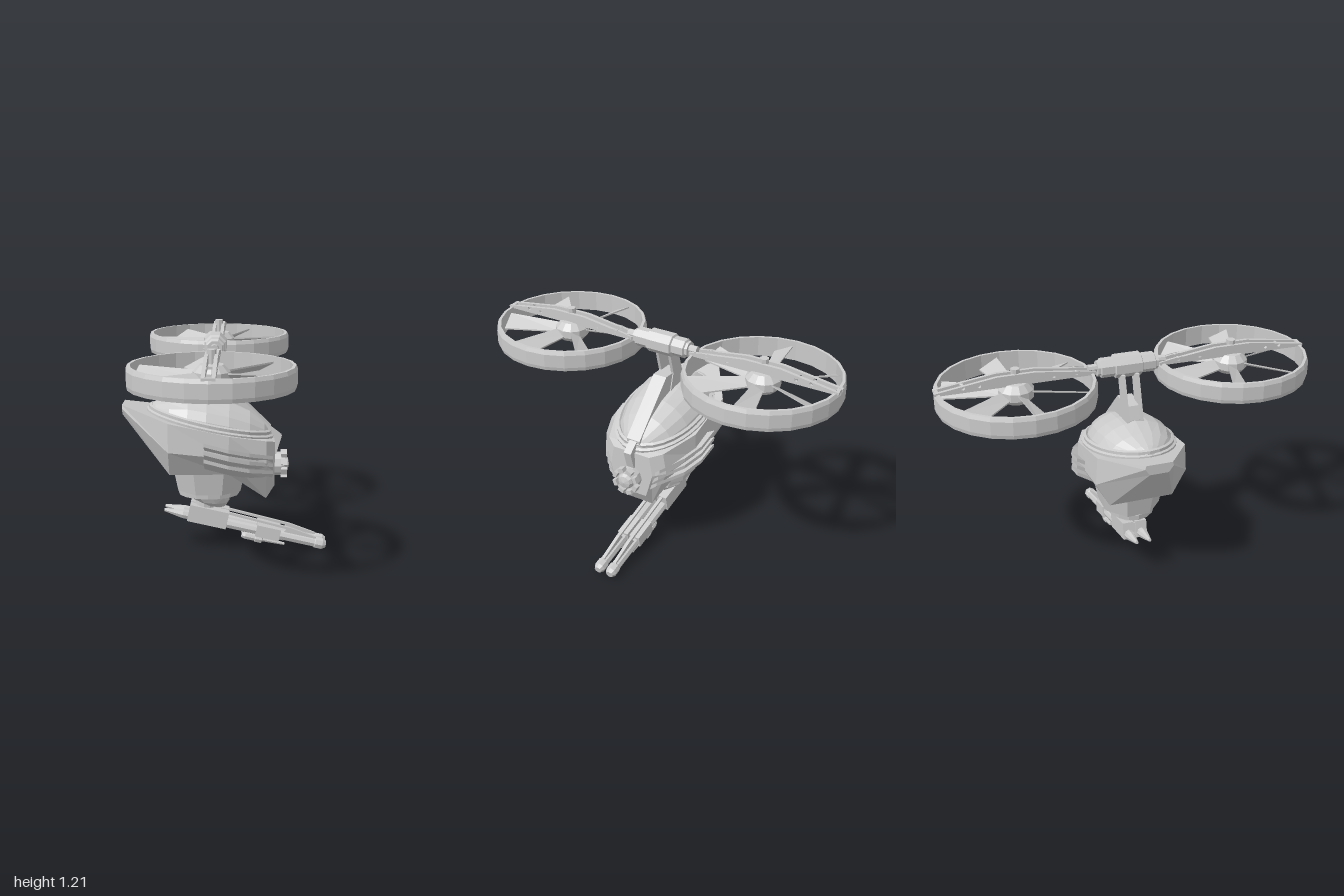
import * as THREE from 'three';

const mat = new THREE.MeshStandardMaterial({ color: 0xcccccc, flatShading: true, side: THREE.DoubleSide });

function add(parent, name, geo, x = 0, y = 0, z = 0) {
  const m = new THREE.Mesh(geo, mat);
  m.name = name;
  m.position.set(x, y, z);
  parent.add(m);
  return m;
}

// Skin through equal-length rings of [x, y, z], capped at both ends
function loft(rings) {
  const p = [], n = rings[0].length;
  const tri = (a, b, c) => p.push(...a, ...b, ...c);
  for (let i = 0; i < rings.length - 1; i++) {
    for (let j = 0; j < n; j++) {
      const k = (j + 1) % n, A = rings[i], B = rings[i + 1];
      tri(A[j], A[k], B[k]);
      tri(A[j], B[k], B[j]);
    }
  }
  const first = rings[0], last = rings[rings.length - 1];
  for (let j = 1; j < n - 1; j++) {
    tri(first[0], first[j + 1], first[j]);
    tri(last[0], last[j], last[j + 1]);
  }
  const g = new THREE.BufferGeometry();
  g.setAttribute('position', new THREE.Float32BufferAttribute(p, 3));
  g.computeVertexNormals();
  return g;
}

// Mirror a half section of [x, y, z] across z = 0 into a full ring
const mirrorRing = half => [...half, ...half.map(([x, y, z]) => [x, y, -z]).reverse()];

// Flat plate in the xy plane, from z0 to z1, with optional round holes
function plate(pts, z0, z1, holes = []) {
  const s = new THREE.Shape(pts.map(p => new THREE.Vector2(...p)));
  for (const [x, y, r] of holes) s.holes.push(new THREE.Path().absarc(x, y, r, 0, Math.PI * 2, true));
  return new THREE.ExtrudeGeometry(s, { depth: z1 - z0, bevelEnabled: false, curveSegments: 4 }).translate(0, 0, z0);
}

const lathe = (pts, seg) => new THREE.LatheGeometry(pts.map(p => new THREE.Vector2(...p)), seg);
const latheX = (pts, seg) => lathe(pts, seg).rotateZ(-Math.PI / 2); // profile [radius, x]

const deckY = x => 0.835 - 0.215 * (x + 0.56);

function buildHull(g) {
  // [x, topY, topZ, midY, midZ, bottomY, bottomZ]
  const stations = [
    [-0.56, 0.84, 0.07, 0.82, 0.075, 0.785, 0.05],
    [-0.3, 0.775, 0.24, 0.62, 0.25, 0.48, 0.175],
    [0.02, 0.71, 0.25, 0.59, 0.255, 0.485, 0.18],
    [0.22, 0.667, 0.17, 0.55, 0.19, 0.33, 0.1],
    [0.265, 0.65, 0.11, 0.54, 0.13, 0.4, 0.09],
  ];
  add(g, 'hull', loft(stations.map(([x, a, b, c, d, e, f]) => mirrorRing([[x, a, b], [x, c, d], [x, e, f]]))));

  // Canopy dome: [x, topY, halfWidth]
  const dome = [[-0.42, 0.825, 0.03], [-0.38, 0.852, 0.1], [-0.3, 0.878, 0.175], [-0.2, 0.9, 0.21], [-0.1, 0.89, 0.22],
    [0.02, 0.862, 0.205], [0.13, 0.81, 0.165], [0.21, 0.745, 0.1], [0.25, 0.69, 0.035]];
  add(g, 'canopy', loft(dome.map(([x, top, w]) => {
    const base = deckY(x) - 0.01, ring = [];
    for (let i = 0; i <= 10; i++) {
      const a = Math.PI * i / 10;
      ring.push([x, base + (top - base) * Math.sin(a), -w * Math.cos(a)]);
    }
    return ring;
  })));

  // Canopy rims
  for (const [grow, lift] of [[0, 0.025], [0.012, 0.002]]) {
    const pts = [];
    for (let i = 0; i < 24; i++) {
      const a = Math.PI * 2 * i / 24, x = -0.085 + (0.325 + grow) * Math.cos(a);
      pts.push(new THREE.Vector3(x, deckY(x) + lift, (0.218 + grow) * Math.sin(a)));
    }
    add(g, 'canopyRim', new THREE.TubeGeometry(new THREE.CatmullRomCurve3(pts, true), 32, 0.013, 5, true));
  }

  // Side gills
  for (const s of [1, -1]) {
    for (let i = 0; i < 3; i++) {
      const y = 0.685 - i * 0.043;
      const rings = [[-0.11, 0.295], [0.02, 0.29], [0.13, 0.25], [0.255, 0.17 - i * 0.01]].map(([x, z], k) => {
        const yy = y - 0.27 * (x + 0.11), inner = z - (k === 3 ? 0.06 : 0.085);
        return [[x, yy, s * z], [x, yy - 0.02, s * z], [x, yy - 0.075, s * inner], [x, yy - 0.05, s * inner]];
      });
      if (s < 0) rings.forEach(r => r.reverse());
      add(g, 'gill', loft(rings));
    }
  }

  // Nose plate and nose sensor
  add(g, 'nosePlate', plate([[0.23, 0.72], [0.305, 0.662], [0.275, 0.56], [0.25, 0.56]], -0.022, 0.022));
  add(g, 'noseSensor', latheX([[0, 0.24], [0.065, 0.24], [0.065, 0.305], [0.045, 0.305], [0.045, 0.325], [0.035, 0.34], [0, 0.348]], 10), 0, 0.5, 0);
  for (let i = 0; i < 8; i++) {
    const a = Math.PI * 2 * (i + 0.5) / 8;
    const t = add(g, 'sensorTooth', new THREE.BoxGeometry(0.034, 0.022, 0.034), 0.318, 0.5 + 0.066 * Math.cos(a), 0.066 * Math.sin(a));
    t.rotation.x = a;
  }
}

function buildMast(g) {
  for (const s of [1, -1]) {
    add(g, 'mastStrut', plate([[-0.21, 0.86], [-0.2, 0.9], [-0.125, 1.13], [-0.045, 1.13], [-0.09, 0.975], [-0.06, 0.86]],
      s * 0.038 - 0.008, s * 0.038 + 0.008));
  }
  add(g, 'mastFin', plate([[-0.19, 0.8], [-0.19, 0.9], [-0.165, 0.972], [-0.025, 0.975], [0.245, 0.715], [0.24, 0.66]], -0.04, 0.04));
  const pod = [[0, -0.165], [0.042, -0.165], [0.042, -0.15], [0.052, -0.145], [0.052, -0.075], [0.063, -0.07],
    [0.063, 0.07], [0.052, 0.075], [0.052, 0.145], [0.042, 0.15], [0.042, 0.165], [0, 0.165]];
  add(g, 'centralPod', lathe(pod, 8).rotateX(Math.PI / 2).rotateZ(Math.PI / 8), -0.055, 1.16, 0);
  add(g, 'podAxle', new THREE.CylinderGeometry(0.022, 0.022, 0.42, 8).rotateX(Math.PI / 2), -0.055, 1.165, 0);
}

function buildRotor(side, startAngle) {
  const r = new THREE.Group();
  r.name = side > 0 ? 'leftRotor' : 'rightRotor';
  r.position.set(-0.055, 0, side * 0.587);
  add(r, 'shroud', lathe([[0.392, 1.04], [0.408, 1.04], [0.413, 1.06], [0.413, 1.13], [0.405, 1.15], [0.39, 1.15], [0.392, 1.04]], 24));
  add(r, 'hub', lathe([[0, 1.05], [0.07, 1.05], [0.092, 1.075], [0.092, 1.115], [0.06, 1.15], [0, 1.155]], 12));
  add(r, 'hubBolt', new THREE.CylinderGeometry(0.024, 0.024, 0.09, 8), 0, 1.177, 0);
  // Pitched blades
  const section = (x, w, tilt) => {
    const c = Math.cos(tilt) * w, s = Math.sin(tilt) * w, t = 0.004;
    return [[x, s + t, c], [x, s - t, c], [x, -s - t, -c], [x, -s + t, -c]];
  };
  for (let i = 0; i < 6; i++) {
    const b = add(r, 'blade', loft([section(0.07, 0.03, 0.55), section(0.385, 0.056, 0.45)]), 0, 1.095, 0);
    b.rotation.y = -(startAngle + i * Math.PI / 3);
  }
  // Twin perforated boom rails across the shroud
  const outline = [[-0.413, 1.142], [0.413, 1.142], [0.413, 1.155], [0.1, 1.2], [-0.1, 1.2], [-0.413, 1.158]];
  const holes = [-0.31, -0.19, 0.19, 0.27].map(z => [z, 1.166, 0.01]);
  for (const x of [-0.024, 0.024]) {
    const rail = add(r, 'boomRail', plate(outline, -0.009, 0.009, holes).rotateY(-Math.PI / 2), x, 0, 0);
    rail.scale.z = side;
  }
  for (const z of [-0.4, -0.1, 0.1, 0.4]) add(r, 'railSpacer', new THREE.BoxGeometry(0.05, 0.012, 0.02), 0, 1.15, z);
  return r;
}

function buildTurret(g) {
  // Octagonal neck, collar and tilted turret
  const neck = [[0, 0.36], [0.185, 0.36], [0.215, 0.5], [0, 0.5]];
  add(g, 'neck', lathe(neck, 8).rotateY(Math.PI / 8).scale(1, 1, 0.9), -0.09, 0, 0);
  add(g, 'collar', lathe([[0, 0.33], [0.168, 0.33], [0.172, 0.362], [0, 0.362]], 16).scale(1, 1, 0.8), -0.095, 0, 0);
  const bowl = (y, x0, x1, w) => Array.from({ length: 10 }, (_, i) => {
    const a = Math.PI * 2 * i / 10;
    return [(x0 + x1) / 2 + (x1 - x0) / 2 * Math.cos(a), y - 0.012 * Math.cos(a), -w * Math.sin(a)];
  });
  add(g, 'turret', loft([bowl(0.27, -0.14, 0.0, 0.07), bowl(0.3, -0.19, 0.018, 0.115), bowl(0.335, -0.235, 0.02, 0.13)]));
  add(g, 'gunMount', new THREE.CylinderGeometry(0.05, 0.055, 0.09, 10), -0.12, 0.265, 0);

  // Twin guns, laid out along local x and tipped nose down
  const guns = new THREE.Group();
  guns.name = 'guns';
  guns.position.set(-0.22, 0.213, 0);
  guns.rotation.z = -0.217;
  g.add(guns);
  add(guns, 'gunBridge', new THREE.BoxGeometry(0.18, 0.05, 0.06), 0.11, 0.03, 0);
  for (const z of [-0.037, 0.037]) {
    add(guns, 'barrel', latheX([[0, -0.125], [0.009, -0.125], [0.027, -0.02], [0.027, 0.73], [0.032, 0.735], [0.032, 0.775], [0.02, 0.795], [0, 0.795]], 8), 0, 0, z);
    add(guns, 'receiver', new THREE.BoxGeometry(0.22, 0.095, 0.062), 0.12, 0.02, z);
    add(guns, 'sleeve', new THREE.BoxGeometry(0.135, 0.066, 0.062), 0.465, 0.002, z);
    add(guns, 'topRail', plate([[0.22, 0.066], [0.22, 0.054], [0.56, 0.042], [0.55, 0.02], [0.74, 0.02], [0.73, 0.033], [0.58, 0.054]], -0.009, 0.009), 0, 0, z);
    add(guns, 'underPod', latheX([[0, 0.325], [0.015, 0.325], [0.021, 0.345], [0.021, 0.4], [0.026, 0.405], [0.026, 0.44], [0.014, 0.445], [0.008, 0.57], [0, 0.57]], 8), 0, -0.047, z);
  }
}

export function createModel() {
  const g = new THREE.Group();
  g.name = 'twinRotorGunship';
  buildHull(g);
  buildMast(g);
  g.add(buildRotor(1, 0.24), buildRotor(-1, -0.17));
  buildTurret(g);
  return g;
}
